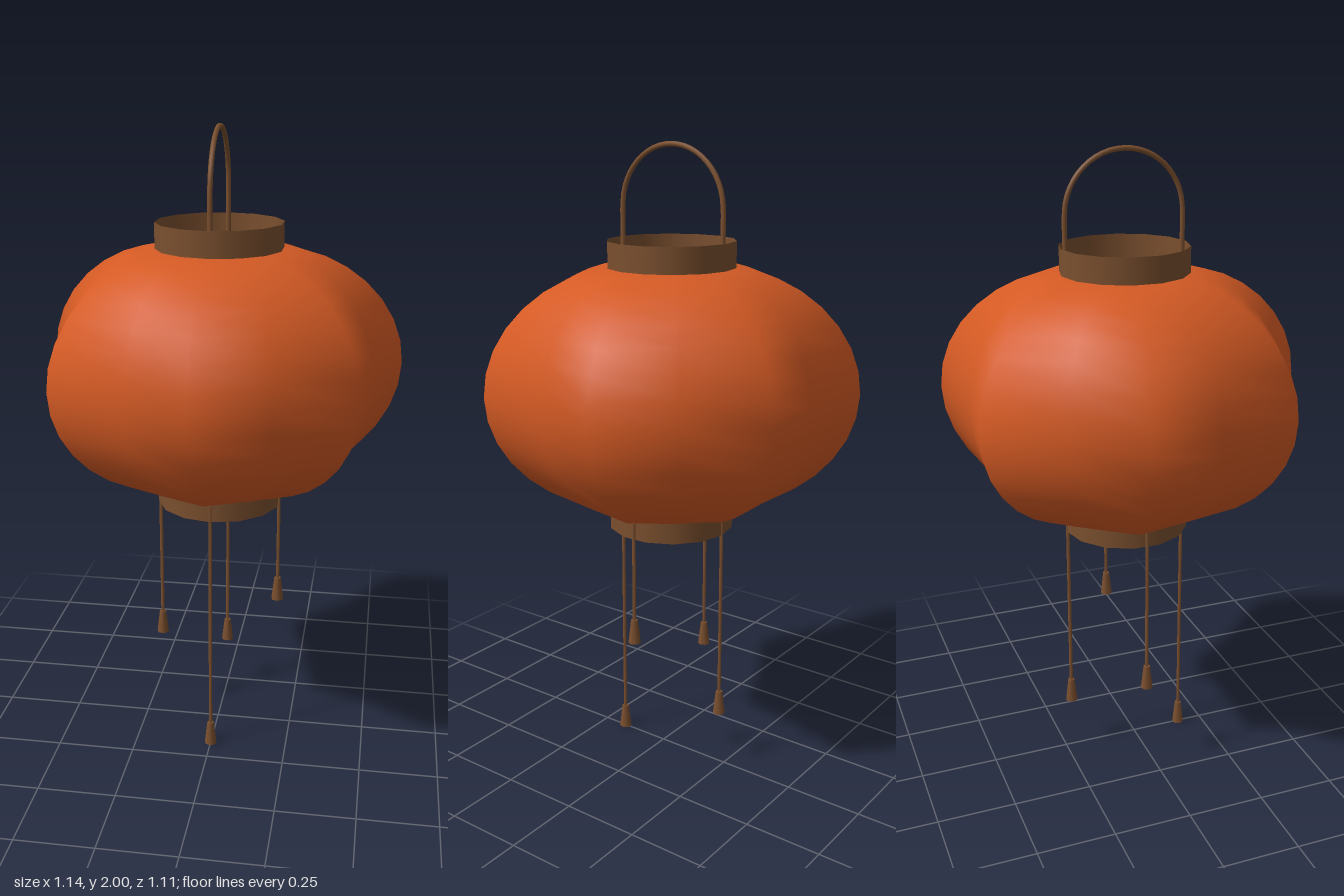
import * as THREE from 'three';
import { mergeVertices } from 'three/addons/utils/BufferGeometryUtils.js';

const SIDES = 14;       // seven ribs and seven valleys
const RIM = 0.199;      // radius of both collars
const MID_Y = 1.257;    // height of the paper shade's widest line
const HALF_H = 0.375;

export function createModel() {
  const paper = new THREE.MeshStandardMaterial({ color: 0xd45a24 });
  paper.name = 'orange paper';
  const wood = new THREE.MeshStandardMaterial({ color: 0x7a4f2e, side: THREE.DoubleSide });
  wood.name = 'brown wood';

  const lantern = new THREE.Group();
  lantern.name = 'lantern';
  const add = (name, geometry, material, parent = lantern) => {
    const mesh = new THREE.Mesh(geometry, material);
    mesh.name = name;
    parent.add(mesh);
    return mesh;
  };

  add('paperShade', shadeGeometry(), paper);

  // Open collars, each closed by a disc on the side facing the shade
  const addCollar = (name, y, discY) => {
    const collar = new THREE.Group();
    collar.name = name;
    add('collarWall', new THREE.CylinderGeometry(RIM, RIM, 0.08, SIDES, 1, true), wood, collar).position.y = y;
    const disc = add('collarDisc', new THREE.CircleGeometry(RIM, SIDES), wood, collar);
    // A polygon corner points to the front, like the wall
    disc.geometry.rotateZ(Math.PI / 2);
    disc.rotation.x = discY > MID_Y ? -Math.PI / 2 : Math.PI / 2;
    disc.position.y = discY;
    lantern.add(collar);
  };
  addCollar('topCollar', 1.672, 1.637);
  addCollar('bottomCollar', 0.845, 0.88);

  // Arched handle with two straight legs, running front to back
  const arch = new THREE.CurvePath();
  const R = 0.186, archY = 1.806;
  const pts = [new THREE.Vector3(0, 1.635, R), new THREE.Vector3(0, 1.72, R)];
  for (let i = 0; i <= 12; i++) {
    const a = (i / 12) * Math.PI;
    pts.push(new THREE.Vector3(0, archY + R * Math.sin(a), R * Math.cos(a)));
  }
  pts.push(new THREE.Vector3(0, 1.72, -R), new THREE.Vector3(0, 1.635, -R));
  add('handle', new THREE.TubeGeometry(new THREE.CatmullRomCurve3(pts), 40, 0.008, 8), wood);

  // Hanging cords of different lengths, each ending in a small tassel
  const hang = [['front', 0, 1, 0], ['left', 1, 0, 0.455], ['back', 0, -1, 0.18], ['right', -1, 0, 0.3]];
  for (const [side, x, z, bottom] of hang) {
    const pendant = new THREE.Group();
    pendant.name = side + 'Pendant';
    pendant.position.set(x * 0.197, 0, z * 0.197);
    const length = 0.86 - (bottom + 0.07);
    add('cord', new THREE.CylinderGeometry(0.006, 0.006, length, 6), wood, pendant).position.y = 0.86 - length / 2;
    add('tassel', new THREE.CylinderGeometry(0.011, 0.02, 0.078, 8), wood, pendant).position.y = bottom + 0.039;
    lantern.add(pendant);
  }

  lantern.position.z = -0.03;
  const model = new THREE.Group();
  model.name = 'paperLantern';
  model.add(lantern);
  return model;
}

// Lathed bulge whose every second meridian is pulled in to form a valley
function shadeGeometry() {
  const rows = 16;
  const profile = [];
  for (let i = 0; i <= rows; i++) {
    const t = (i / rows - 0.5) * Math.PI;
    const bulge = Math.pow(Math.max(0, Math.cos(t)), 1.15);
    profile.push(new THREE.Vector2(RIM + 0.386 * bulge, MID_Y + HALF_H * Math.sin(t)));
  }
  const g = new THREE.LatheGeometry(profile, SIDES);
  const p = g.attributes.position;
  for (let i = 0; i < p.count; i++) {
    const column = Math.floor(i / (rows + 1));
    if (column % 2 === 0) continue;
    const r = Math.hypot(p.getX(i), p.getZ(i));
    const k = (RIM + (r - RIM) * 0.77) / r;
    p.setX(i, p.getX(i) * k);
    p.setZ(i, p.getZ(i) * k);
  }
  // Weld the seam so the shading runs smoothly all round
  g.deleteAttribute('uv');
  g.deleteAttribute('normal');
  const welded = mergeVertices(g, 1e-4);
  welded.computeVertexNormals();
  return welded;
}
